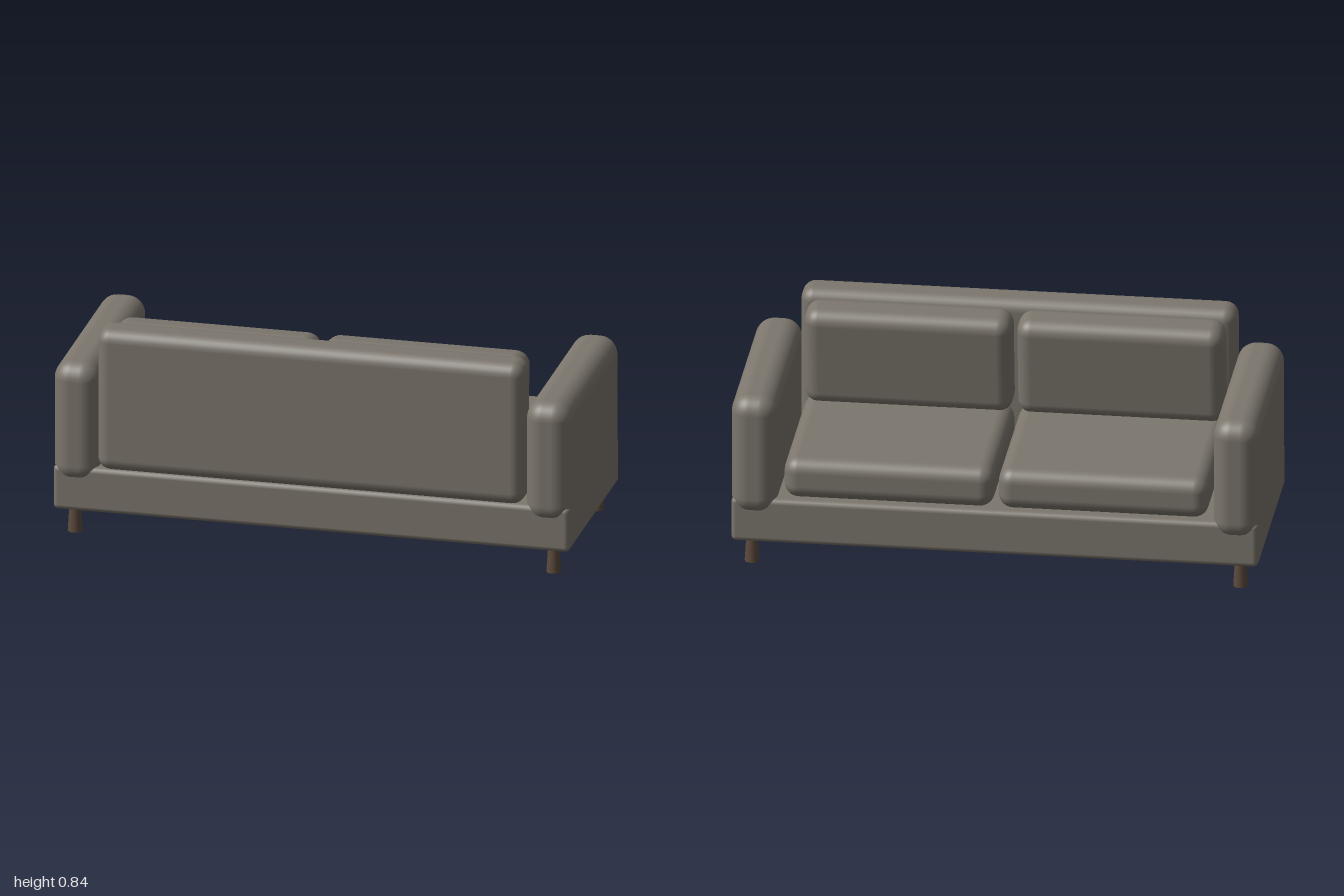
import * as THREE from 'three';
import { RoundedBoxGeometry } from 'three/addons/geometries/RoundedBoxGeometry.js';

export function createModel() {
  const sofa = new THREE.Group();
  sofa.name = 'sofa';

  const fabric = new THREE.MeshStandardMaterial({ color: 0x7c766d });
  fabric.name = 'taupe fabric';
  const wood = new THREE.MeshStandardMaterial({ color: 0x5c4a3d });
  wood.name = 'dark wood';

  // Upholstered block given by its extents [min, max] on each axis
  function block(name, [x0, x1], [y0, y1], [z0, z1], radius, segments = 3) {
    const geometry = new RoundedBoxGeometry(x1 - x0, y1 - y0, z1 - z0, segments, radius);
    const mesh = new THREE.Mesh(geometry, fabric);
    mesh.name = name;
    mesh.position.set((x0 + x1) / 2, (y0 + y1) / 2, (z0 + z1) / 2);
    sofa.add(mesh);
    return mesh;
  }

  // Base frame and backrest; the seat opens towards -z
  block('base', [-0.998, 0.998], [0.098, 0.275], [-0.404, 0.398], 0.02, 2);
  block('backrest', [-0.825, 0.825], [0.275, 0.84], [0.28, 0.425], 0.05);

  const legGeometry = new THREE.CylinderGeometry(0.021, 0.028, 0.11, 16);

  for (const side of [-1, 1]) {
    const label = side > 0 ? 'left' : 'right';
    const span = (a, b) => (side > 0 ? [a, b] : [-b, -a]);

    // Armrest, hanging slightly over the base at both ends
    block(label + 'Armrest', span(0.825, 1), [0.21, 0.688], [-0.425, 0.415], 0.07, 4);

    // Seat cushion
    block(label + 'SeatCushion', span(0.008, 0.803), [0.27, 0.432], [-0.386, 0.3], 0.055, 4);

    // Back cushion, its top leaning forward out of the backrest
    const back = block(label + 'BackCushion', span(0.01, 0.795), [0.42, 0.817], [0.154, 0.314], 0.055, 4);
    back.rotation.x = -0.11;

    // Legs, flaring towards the floor
    for (const z of [-0.345, 0.34]) {
      const leg = new THREE.Mesh(legGeometry, wood);
      leg.name = label + (z < 0 ? 'SeatSideLeg' : 'BackrestSideLeg');
      leg.position.set(side * 0.925, 0.055, z);
      sofa.add(leg);
    }
  }

  return sofa;
}
